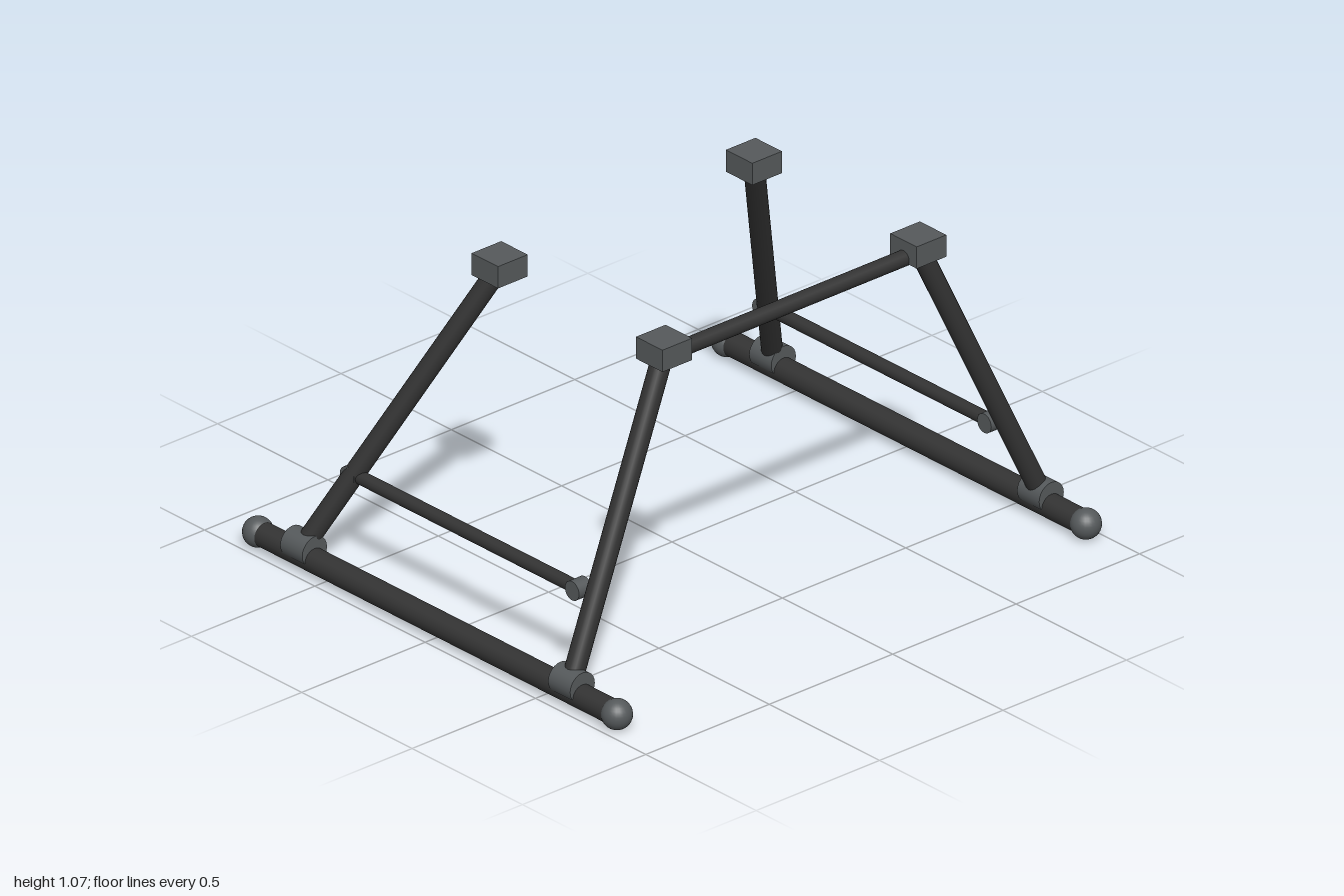
import * as THREE from 'three';

const tubeMat = new THREE.MeshStandardMaterial({ color: 0x333333 });
const fittingMat = new THREE.MeshStandardMaterial({ color: 0x55595b });

export function createModel() {
  const model = new THREE.Group();
  model.name = 'skidLandingGear';

  const add = (name, geometry, material, x, y, z) => {
    const mesh = new THREE.Mesh(geometry, material);
    mesh.name = name;
    mesh.position.set(x, y, z);
    model.add(mesh);
    return mesh;
  };

  // Round bar between two points
  const bar = (name, a, b, radius, material = tubeMat) => {
    const from = new THREE.Vector3(...a), to = new THREE.Vector3(...b);
    const dir = to.clone().sub(from);
    const mid = from.clone().add(to).multiplyScalar(0.5);
    const geometry = new THREE.CylinderGeometry(radius, radius, dir.length(), 24);
    const mesh = add(name, geometry, material, mid.x, mid.y, mid.z);
    mesh.quaternion.setFromUnitVectors(new THREE.Vector3(0, 1, 0), dir.normalize());
  };

  for (const [side, s] of [['left', 1], ['right', -1]]) {
    // Skid runner with ball ends
    const x = s * 0.95;
    bar(side + 'Skid', [x, 0.05, -0.813], [x, 0.05, 0.813], 0.04);
    for (const z of [-0.813, 0.813])
      add(side + 'SkidEnd', new THREE.SphereGeometry(0.049, 24, 16), fittingMat, x, 0.05, z);

    // Struts with a saddle below and a mounting block on top
    for (const [end, zLow, zTop] of [['Front', 0.607, 0.54], ['Back', -0.607, -0.205]]) {
      bar(side + end + 'Strut', [s * 0.95, 0.08, zLow], [s * 0.515, 1.03, zTop], 0.033);
      bar(side + end + 'Saddle', [x, 0.08, zLow - 0.05], [x, 0.08, zLow + 0.05], 0.05, fittingMat);
      add(side + end + 'MountingBlock', new THREE.BoxGeometry(0.12, 0.074, 0.12),
        fittingMat, s * 0.515, 1.038, zTop);
    }

    // Lengthwise brace with end collars
    const bx = s * 0.835;
    bar(side + 'Brace', [bx, 0.322, -0.51], [bx, 0.322, 0.51], 0.022);
    for (const z of [-0.51, 0.51])
      bar(side + 'BraceCollar', [bx - 0.026, 0.322, z], [bx + 0.026, 0.322, z], 0.032, fittingMat);
  }

  // Crossbar joining the front mounting blocks
  bar('frontCrossbar', [-0.515, 1.014, 0.54], [0.515, 1.014, 0.54], 0.026);

  return model;
}
